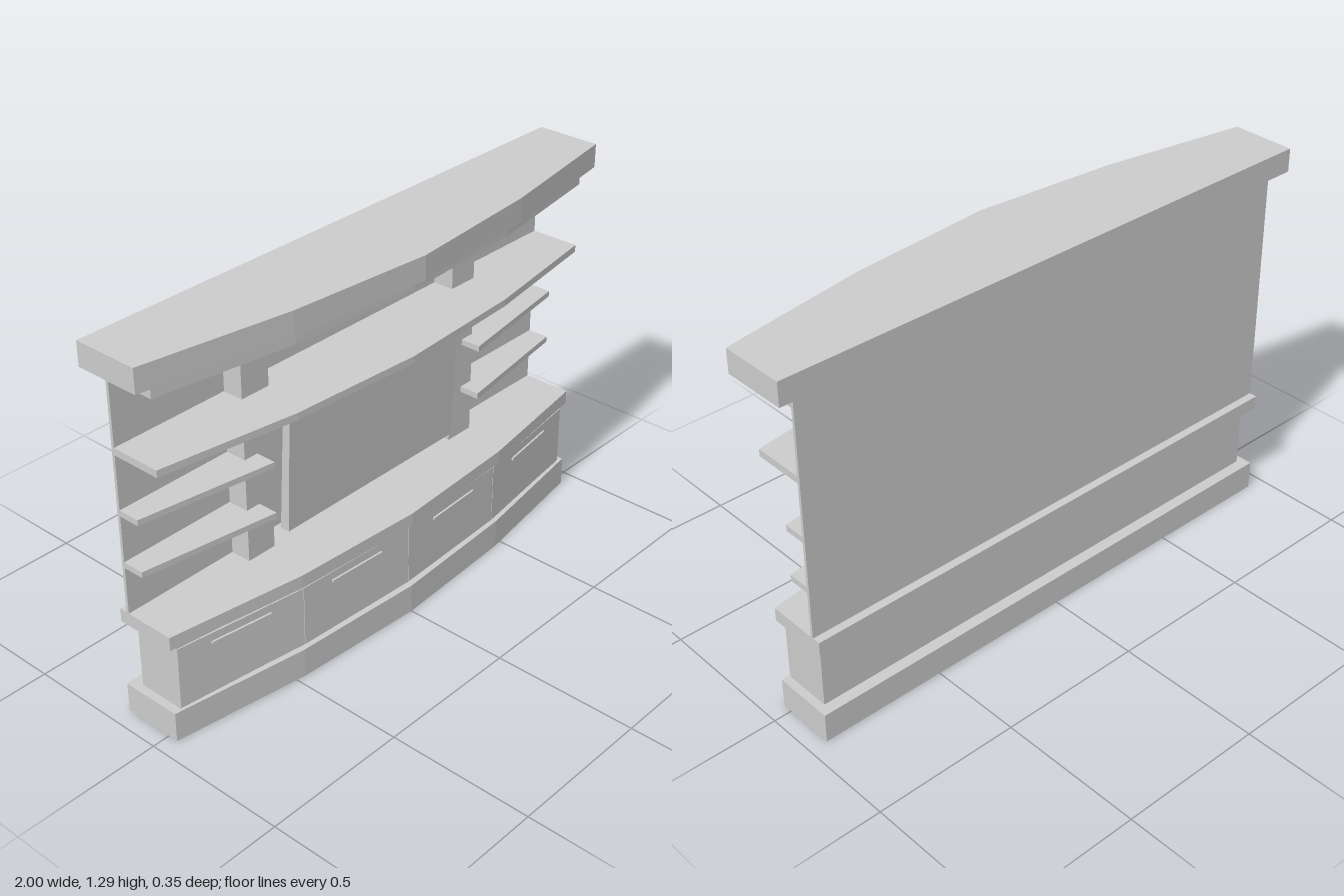
import * as THREE from 'three';

export function createModel() {
  const group = new THREE.Group();
  group.name = 'mediaWallUnit';
  const material = new THREE.MeshStandardMaterial({ color: 0xcccccc, flatShading: true });

  function add(name, geometry) {
    const mesh = new THREE.Mesh(geometry, material);
    mesh.name = name;
    group.add(mesh);
    return mesh;
  }

  // Upright prism from a plan outline of [x, z] points, between two heights
  function prism(name, plan, y0, y1) {
    const shape = new THREE.Shape(plan.map(([x, z]) => new THREE.Vector2(x, -z)));
    const geometry = new THREE.ExtrudeGeometry(shape, { depth: y1 - y0, bevelEnabled: false });
    geometry.rotateX(-Math.PI / 2).translate(0, y0, 0);
    return add(name, geometry);
  }

  // Full-width slab with a four-facet bowed front
  function bowed(name, half, back, [mid, knee, end], y0, y1) {
    return prism(name, [
      [-half, back], [-half, end], [-half / 2, knee], [0, mid],
      [half / 2, knee], [half, end], [half, back],
    ], y0, y1);
  }

  function box(name, w, h, d, x, y, z) {
    return add(name, new THREE.BoxGeometry(w, h, d).translate(x, y, z));
  }

  const bow = [0.135, 0.107, 0.035];
  const W = 0.938;

  // Base cabinet
  bowed('plinth', W, -0.175, bow, 0, 0.102);
  bowed('cabinetBody', 0.91, -0.136, [0.11, 0.087, 0.028], 0.102, 0.335);
  bowed('worktop', W, -0.175, bow, 0.335, 0.381);

  // Upper structure
  box('backPanel', 2 * W, 0.83, 0.01, 0, 0.795, -0.142);
  bowed('longShelf', W, -0.137, bow, 0.921, 0.945);
  bowed('corniceTrim', W, -0.147, bow, 1.165, 1.21);
  bowed('cornice', 1, -0.175, [0.175, 0.132, 0.048], 1.21, 1.29);

  // Doors and handles follow the cabinet facets
  const doorZ = (x) => (x < 0.455 ? 0.12 - x * 0.0505 : 0.097 - (x - 0.455) * 0.143);
  function strip(name, side, x0, x1, back, front, y0, y1) {
    prism(name, [
      [side * x0, doorZ(x0) + back], [side * x1, doorZ(x1) + back],
      [side * x1, doorZ(x1) + front], [side * x0, doorZ(x0) + front],
    ], y0, y1);
  }

  for (const side of [-1, 1]) {
    const label = side > 0 ? 'left' : 'right';
    strip(label + 'InnerDoor', side, 0.001, 0.454, -0.012, 0, 0.11, 0.321);
    strip(label + 'OuterDoor', side, 0.456, 0.91, -0.012, 0, 0.11, 0.321);
    strip(label + 'InnerHandle', side, 0.125, 0.338, -0.002, 0.007, 0.284, 0.293);
    strip(label + 'OuterHandle', side, 0.578, 0.793, -0.002, 0.007, 0.284, 0.293);

    box(label + 'Column', 0.108, 0.786, 0.073, side * 0.468, 0.773, -0.1005);

    // Short side shelves with a slanted front
    for (const y of [0.543, 0.72]) {
      prism(label + 'SideShelf', [
        [side * 0.47, -0.137], [side * W, -0.137], [side * W, -0.063], [side * 0.47, 0.008],
      ], y, y + 0.02);
    }
  }

  // Leaning screen, extruded across the width from its side profile
  const profile = new THREE.Shape([
    new THREE.Vector2(0.065, 0.431), new THREE.Vector2(0.041, 0.84),
    new THREE.Vector2(0.014, 0.842), new THREE.Vector2(0.031, 0.433),
  ]);
  const screen = new THREE.ExtrudeGeometry(profile, { depth: 0.766, bevelEnabled: false });
  screen.rotateY(Math.PI / 2).translate(-0.383, 0, 0);
  add('screen', screen);

  return group;
}
